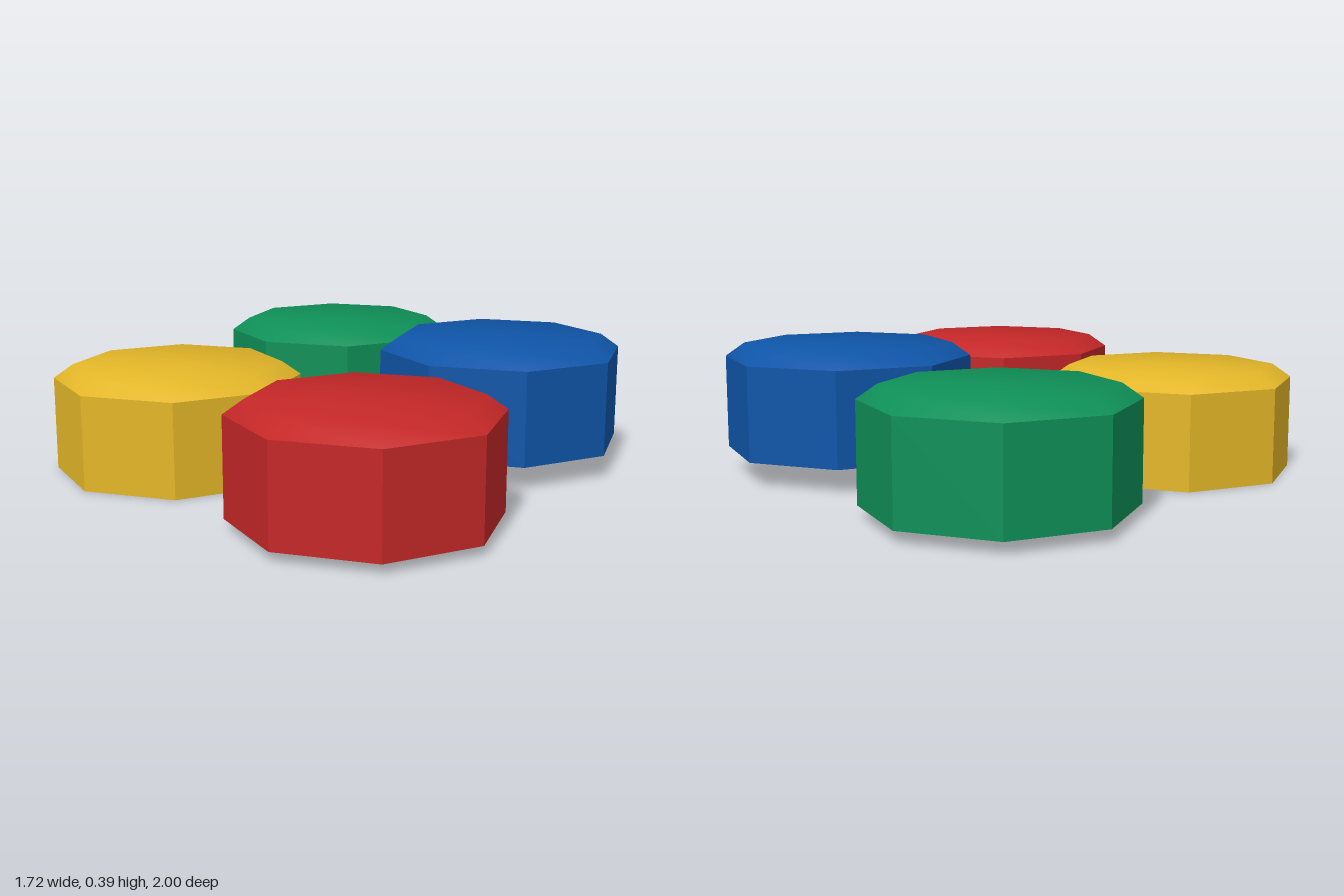
import * as THREE from 'three';
import { toCreasedNormals } from 'three/addons/utils/BufferGeometryUtils.js';

const RADIUS = 0.369, TOP_RADIUS = 0.312, WALL = 0.277, HEIGHT = 0.317;

// Octagonal button: flat walls, softly shaded bevel and top, optional base
function buttonGeometry(closed) {
  const profile = [[RADIUS, 0], [RADIUS, WALL], [TOP_RADIUS, HEIGHT], [0, HEIGHT]];
  if (closed) profile.unshift([0, 0]);
  const points = profile.map(([x, y]) => new THREE.Vector2(x, y));
  return toCreasedNormals(new THREE.LatheGeometry(points, 8), 0.7);
}

export function createModel() {
  const group = new THREE.Group();
  group.name = 'buttonCluster';

  // The right and back buttons are open shells underneath
  const buttons = [
    { name: 'yellow', color: 0xe3b628, at: [-0.492, 0, 0], closed: true },
    { name: 'red', color: 0xc42727, at: [0.013, 0.027, 0.629], closed: true },
    { name: 'green', color: 0x0f9058, at: [0.043, 0.033, -0.631], closed: false },
    { name: 'blue', color: 0x0f55a8, at: [0.489, 0.07, 0], closed: false },
  ];

  for (const { name, color, at, closed } of buttons) {
    const material = new THREE.MeshStandardMaterial({ color, side: THREE.DoubleSide });
    material.name = name;
    const mesh = new THREE.Mesh(buttonGeometry(closed), material);
    mesh.name = name + 'Button';
    mesh.position.set(...at);
    group.add(mesh);
  }
  return group;
}
